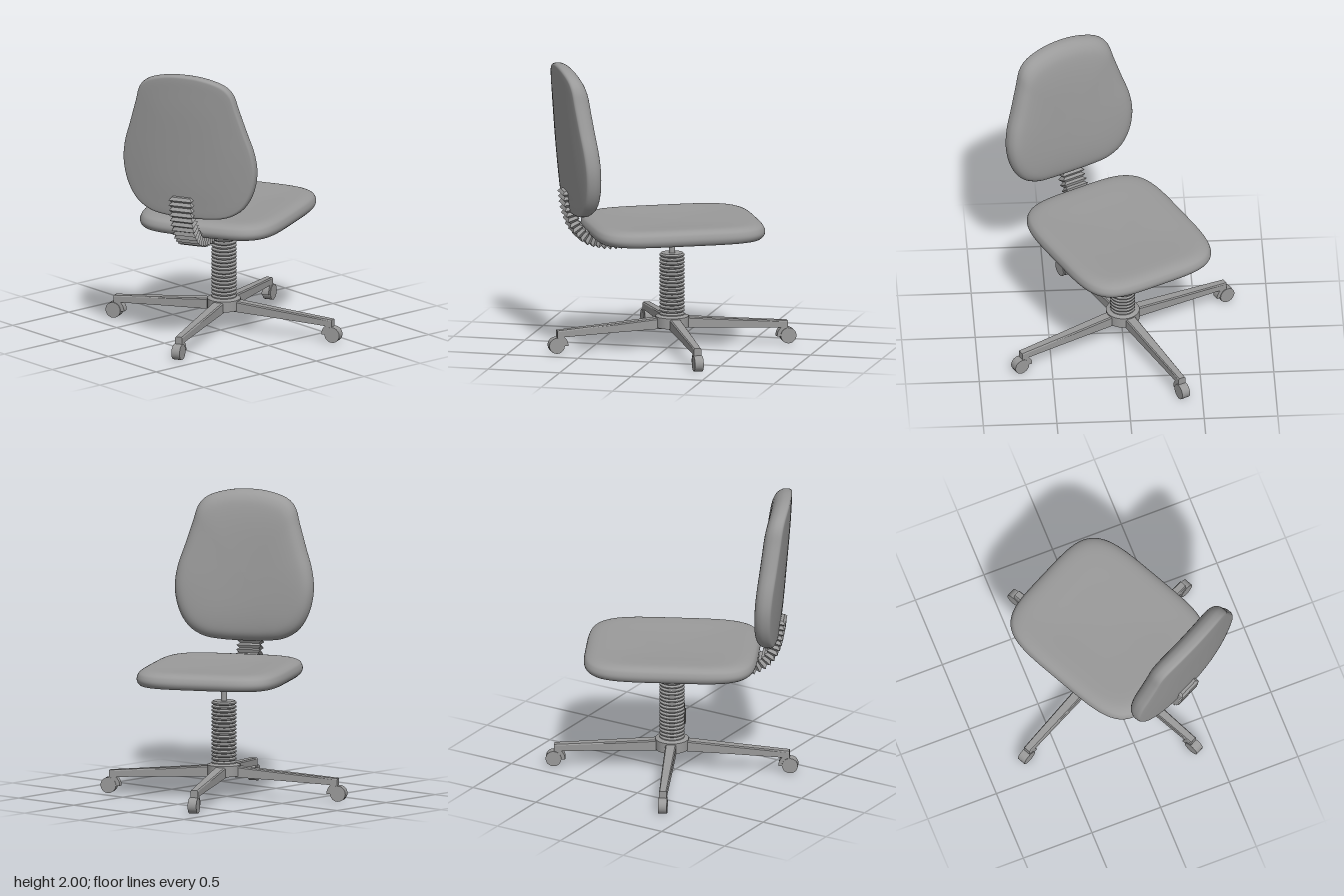
import * as THREE from 'three';

const smooth = new THREE.MeshStandardMaterial({ color: 0x9a9a9a });
const faceted = new THREE.MeshStandardMaterial({ color: 0x9a9a9a, flatShading: true });

function add(parent, name, geometry, material, x = 0, y = 0, z = 0) {
  const mesh = new THREE.Mesh(geometry, material);
  mesh.name = name;
  mesh.position.set(x, y, z);
  parent.add(mesh);
  return mesh;
}

// Skin over closed rings of equal length (each anticlockwise about the sweep direction)
function loft(rings) {
  const n = rings[0].length, index = [];
  for (let i = 0; i < rings.length - 1; i++) {
    for (let j = 0; j < n; j++) {
      const a = i * n + j, b = i * n + (j + 1) % n;
      index.push(a, b, b + n, a, b + n, a + n);
    }
  }
  const geometry = new THREE.BufferGeometry().setFromPoints(rings.flat());
  geometry.setIndex(index);
  geometry.computeVertexNormals();
  return geometry;
}

// Cushion: an outline in xy, scaled by each [scale, height] of the profile, height along z
function cushion(outline, profile, bend) {
  const curve = new THREE.SplineCurve(profile.map(p => new THREE.Vector2(...p)));
  return loft(curve.getPoints(54).map(p => outline.map(o =>
    bend(new THREE.Vector3(o.x * p.x, o.y * p.x, p.y)))));
}

function makeSeat() {
  const outline = [];
  const power = (v, e) => Math.sign(v) * Math.abs(v) ** e;
  for (let i = 0; i < 96; i++) {
    const a = i / 96 * Math.PI * 2;
    outline.push(new THREE.Vector2(0.5 * power(Math.cos(a), 0.46), 0.588 * power(Math.sin(a), 0.46)));
  }
  const profile = [[0, 0.8], [0.5, 0.8], [0.9, 0.802], [0.97, 0.81], [1, 0.838],
    [0.993, 0.868], [0.96, 0.892], [0.87, 0.908], [0.7, 0.908], [0.4, 0.9], [0, 0.895]];
  return cushion(outline, profile, p => p).rotateX(-Math.PI / 2);
}

function makeBackrest() {
  // Half widths from bottom to top, mirrored into a closed outline
  const side = [[0.16, 0.98], [0.28, 1.0], [0.38, 1.06], [0.45, 1.17], [0.483, 1.32], [0.47, 1.46],
    [0.42, 1.62], [0.37, 1.78], [0.335, 1.89], [0.28, 1.945], [0.14, 1.989]];
  const points = [[0, 0.975], ...side, [0, 2], ...side.map(([x, y]) => [-x, y]).reverse()];
  const curve = new THREE.CatmullRomCurve3(points.map(([x, y]) => new THREE.Vector3(x, y - 1.45, 0)), true);
  const outline = curve.getSpacedPoints(96).slice(0, -1);
  const profile = [[0, -0.1], [0.5, -0.095], [0.8, -0.08], [0.93, -0.055], [0.99, -0.015],
    [1, 0.025], [0.985, 0.047], [0.94, 0.053], [0.8, 0.056], [0.5, 0.06], [0, 0.06]];
  // Wraps round the sitter and leans back towards the top
  return cushion(outline, profile, p => {
    p.z += 0.712 - 0.21 * p.x * p.x + 0.085 * p.y;
    p.y += 1.45;
    return p;
  });
}

// Corrugated strip from under the seat up behind the backrest
function makeBracket() {
  const path = new THREE.CatmullRomCurve3([[0.785, 0.17], [0.765, 0.32], [0.762, 0.47], [0.8, 0.6],
    [0.885, 0.68], [1.0, 0.72], [1.13, 0.738]].map(([y, z]) => new THREE.Vector3(0, y, z)));
  const right = new THREE.Vector3(1, 0, 0), steps = 44, rings = [];
  for (let i = 0; i <= steps; i++) {
    const c = path.getPointAt(i / steps);
    const up = path.getTangentAt(i / steps).cross(right);
    const w = i % 2 ? 0.085 : 0.066, d = i % 2 ? 0.042 : 0.024;
    const ring = [[1, 1], [-1, 1], [-1, -1], [1, -1]].map(([u, v]) =>
      c.clone().addScaledVector(right, u * w).addScaledVector(up, v * d));
    const cap = ring.map(() => c.clone());
    if (i === 0) rings.push(cap);
    rings.push(ring);
    if (i === steps) rings.push(cap);
  }
  return loft(rings);
}

function makeColumnBellows() {
  const profile = [[0, 0.22], [0.07, 0.22]];
  for (let i = 0; i < 17; i++) {
    const y = 0.225 + i * 0.0255;
    profile.push([0.07, y], [0.085, y + 0.008], [0.085, y + 0.016]);
  }
  profile.push([0.075, 0.66], [0, 0.66]);
  return new THREE.LatheGeometry(profile.map(p => new THREE.Vector2(...p)), 32);
}

// Tapered leg along +z with a castor at its end
function makeLeg() {
  const leg = new THREE.Group();
  leg.name = 'leg';
  const section = (z, w, low, high) => [[w, low], [w, high - 0.008], [w * 0.8, high],
    [-w * 0.8, high], [-w, high - 0.008], [-w, low]].map(([x, y]) => new THREE.Vector3(x, y, z));
  const point = (z, y) => Array.from({ length: 6 }, () => new THREE.Vector3(0, y, z));
  add(leg, 'legBeam', loft([point(0.03, 0.18), section(0.03, 0.038, 0.145, 0.222),
    section(0.4, 0.033, 0.13, 0.19), section(0.8, 0.026, 0.11, 0.157), point(0.8, 0.135)]), faceted);
  add(leg, 'castorWheel', new THREE.CylinderGeometry(0.054, 0.054, 0.06, 20).rotateZ(Math.PI / 2),
    smooth, 0, 0.054, 0.804);
  // Hood curving over the hub side of the wheel
  const hood = new THREE.Shape();
  hood.absarc(0, 0, 0.075, Math.PI * 0.5, Math.PI * 1.02, false);
  hood.absarc(0, 0, 0.05, Math.PI * 1.02, Math.PI * 0.5, true);
  const hoodGeometry = new THREE.ExtrudeGeometry(hood, { depth: 0.05, bevelEnabled: false, curveSegments: 12 })
    .translate(0, 0, -0.025).rotateY(-Math.PI / 2);
  add(leg, 'castorHood', hoodGeometry, smooth, 0, 0.054, 0.8);
  return leg;
}

export function createModel() {
  const model = new THREE.Group();
  model.name = 'officeChair';
  const chair = new THREE.Group();
  chair.name = 'chair';
  chair.position.z = -0.03;
  chair.rotation.y = THREE.MathUtils.degToRad(27);
  model.add(chair);

  // Upholstery
  add(chair, 'seat', makeSeat(), smooth, 0.03);
  add(chair, 'backrest', makeBackrest(), smooth, 0.033);
  add(chair, 'backBracket', makeBracket(), faceted);

  // Column
  add(chair, 'gasRod', new THREE.CylinderGeometry(0.022, 0.022, 0.16, 24), smooth, 0, 0.735, 0);
  add(chair, 'columnBellows', makeColumnBellows(), faceted);

  // Base
  add(chair, 'hub', new THREE.CylinderGeometry(0.114, 0.114, 0.073, 32), smooth, 0, 0.1865, 0);
  add(chair, 'hubCollar', new THREE.CylinderGeometry(0.085, 0.112, 0.012, 32), smooth, 0, 0.228, 0);
  for (let i = 0; i < 4; i++) {
    const leg = makeLeg();
    leg.rotation.y = i * Math.PI / 2;
    chair.add(leg);
  }
  return model;
}
